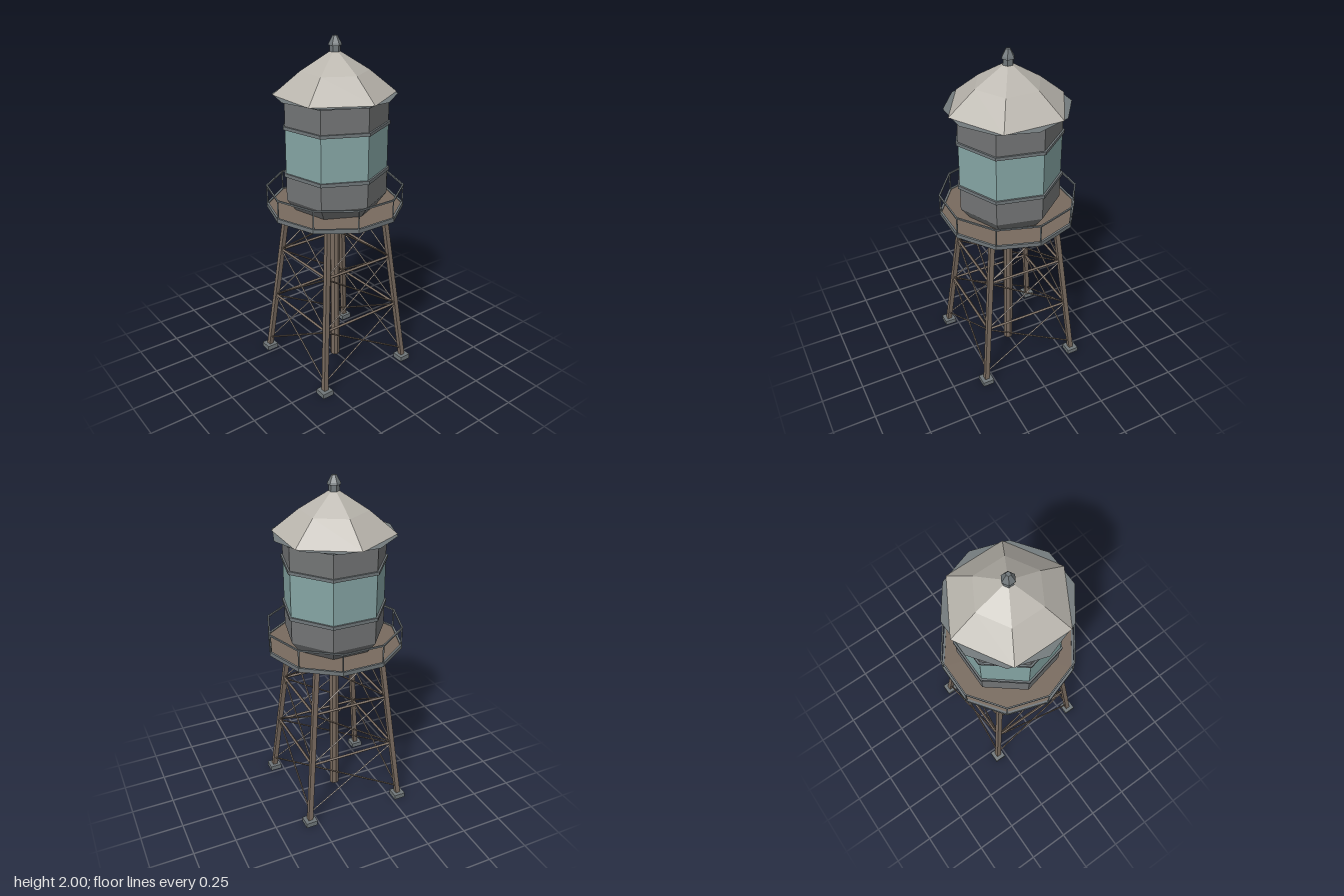
import * as THREE from 'three';

const mat = (name, color) => {
  const m = new THREE.MeshStandardMaterial({ color });
  m.name = name;
  return m;
};

export function createModel() {
  const wood = mat('brownTimber', 0x786a5e);
  const tankGrey = mat('tankGrey', 0x727475);
  const teal = mat('tealPanel', 0x85a5a4);
  const metal = mat('trimMetal', 0x6f7679);
  const roofGrey = mat('paleRoof', 0xbab6ae);
  const eaveMat = mat('eaveMetal', 0x737a7c);
  eaveMat.side = THREE.DoubleSide;

  const model = new THREE.Group();
  model.name = 'waterTower';

  const add = (name, geometry, material, parent = model) => {
    const flat = geometry.index ? geometry.toNonIndexed() : geometry;
    flat.computeVertexNormals(); // faceted look
    const mesh = new THREE.Mesh(flat, material);
    mesh.name = name;
    parent.add(mesh);
    return mesh;
  };
  const group = (name) => {
    const g = new THREE.Group();
    g.name = name;
    model.add(g);
    return g;
  };
  // Faceted turned shape from [radius, height] points, bottom to top
  const turned = (points, sides, start = 0) =>
    new THREE.LatheGeometry(points.map(([r, y]) => new THREE.Vector2(r, y)), sides, start);
  // Closed ring with a rectangular section
  const ring = (inner, outer, y0, y1, sides, start = 0) =>
    turned([[inner, y0], [outer, y0], [outer, y1], [inner, y1], [inner, y0]], sides, start);
  // Straight rod between two points
  const rod = (name, a, b, radius, material, parent) => {
    const dir = b.clone().sub(a);
    const mesh = add(name, new THREE.CylinderGeometry(radius, radius, dir.length(), 4), material, parent);
    mesh.position.copy(a).add(b).multiplyScalar(0.5);
    mesh.quaternion.setFromUnitVectors(new THREE.Vector3(0, 1, 0), dir.normalize());
  };
  const SIDE = Math.PI / 2; // first corner on +x

  // Legs lean inward as they rise
  const legTop = 1.025;
  const legX = (y) => 0.302 - 0.103 * (y / legTop);
  const legs = group('legs');
  for (const sx of [-1, 1]) for (const sz of [-1, 1]) {
    const g = new THREE.BoxGeometry(0.028, legTop, 0.028);
    g.translate(0, legTop / 2, 0);
    const p = g.attributes.position;
    for (let i = 0; i < p.count; i++) {
      const off = legX(p.getY(i));
      p.setX(i, p.getX(i) + sx * off);
      p.setZ(i, p.getZ(i) + sz * off);
    }
    add('leg', g, wood, legs);
    const foot = new THREE.BoxGeometry(0.07, 0.03, 0.07);
    foot.translate(sx * 0.3, 0.015, sz * 0.3);
    add('footing', foot, metal, legs);
  }

  // Horizontal beams and crossed rods on each of the four sides
  const bracing = group('bracing');
  const corner = (k, y) => {
    const a = Math.PI / 4 + (k * Math.PI) / 2;
    const r = legX(y) * Math.SQRT2;
    return new THREE.Vector3(r * Math.cos(a), y, r * Math.sin(a));
  };
  for (let k = 0; k < 4; k++) {
    for (const y of [0.395, 0.715]) rod('beam', corner(k, y), corner(k + 1, y), 0.009, wood, bracing);
    for (const [y0, y1] of [[0.075, 0.39], [0.4, 0.71], [0.72, 1.02]]) {
      rod('crossRod', corner(k, y0), corner(k + 1, y1), 0.005, wood, bracing);
      rod('crossRod', corner(k + 1, y0), corner(k, y1), 0.005, wood, bracing);
    }
  }

  // Central riser pipe
  const pipe = new THREE.CylinderGeometry(0.029, 0.029, 1.025, 8);
  pipe.translate(0, 0.5125, 0);
  add('riserPipe', pipe, wood);

  // Ten-sided walkway with rim and railing
  const deck = new THREE.CylinderGeometry(0.388, 0.388, 0.018, 10);
  deck.translate(0, 1.031, 0);
  add('deck', deck, wood);
  add('deckRim', ring(0.384, 0.397, 1.021, 1.045, 10), metal);
  const railing = group('railing');
  add('topRail', ring(0.388, 0.397, 1.146, 1.155, 10), metal, railing);
  for (let i = 0; i < 10; i++) {
    const a = (i * Math.PI) / 5;
    const x = 0.391 * Math.sin(a), z = 0.391 * Math.cos(a);
    rod('railPost', new THREE.Vector3(x, 1.04, z), new THREE.Vector3(x, 1.15, z), 0.005, metal, railing);
  }

  // Seven-sided tank
  const R = 0.296;
  add('tankBase', turned([[0, 1.035], [0.24, 1.035], [R, 1.11], [R, 1.26]], 7, SIDE), tankGrey);
  add('tankPanel', turned([[R, 1.26], [R, 1.53]], 7, SIDE), teal);
  add('tankTop', turned([[R, 1.53], [R, 1.685], [0, 1.685]], 7, SIDE), tankGrey);
  for (const [y0, y1] of [[1.25, 1.27], [1.52, 1.538], [1.672, 1.689]])
    add('tankBand', ring(R - 0.01, 0.307, y0, y1, 7, SIDE), metal);

  // Flat eave sheet under the roof
  const eave = new THREE.CircleGeometry(0.345, 10, Math.PI / 2);
  eave.rotateX(-Math.PI / 2);
  eave.translate(0, 1.689, 0);
  add('eaveSheet', eave, eaveMat);

  // Six-sided roof with a change of pitch, and its finial
  add('roof', turned([[0.342, 1.69], [0.19, 1.815], [0, 1.935]], 6, SIDE), roofGrey);
  add('finial', turned([[0.031, 1.9], [0.029, 1.95], [0.038, 1.95], [0.034, 1.962], [0.013, 2], [0, 2]], 6, SIDE), metal);

  return model;
}
